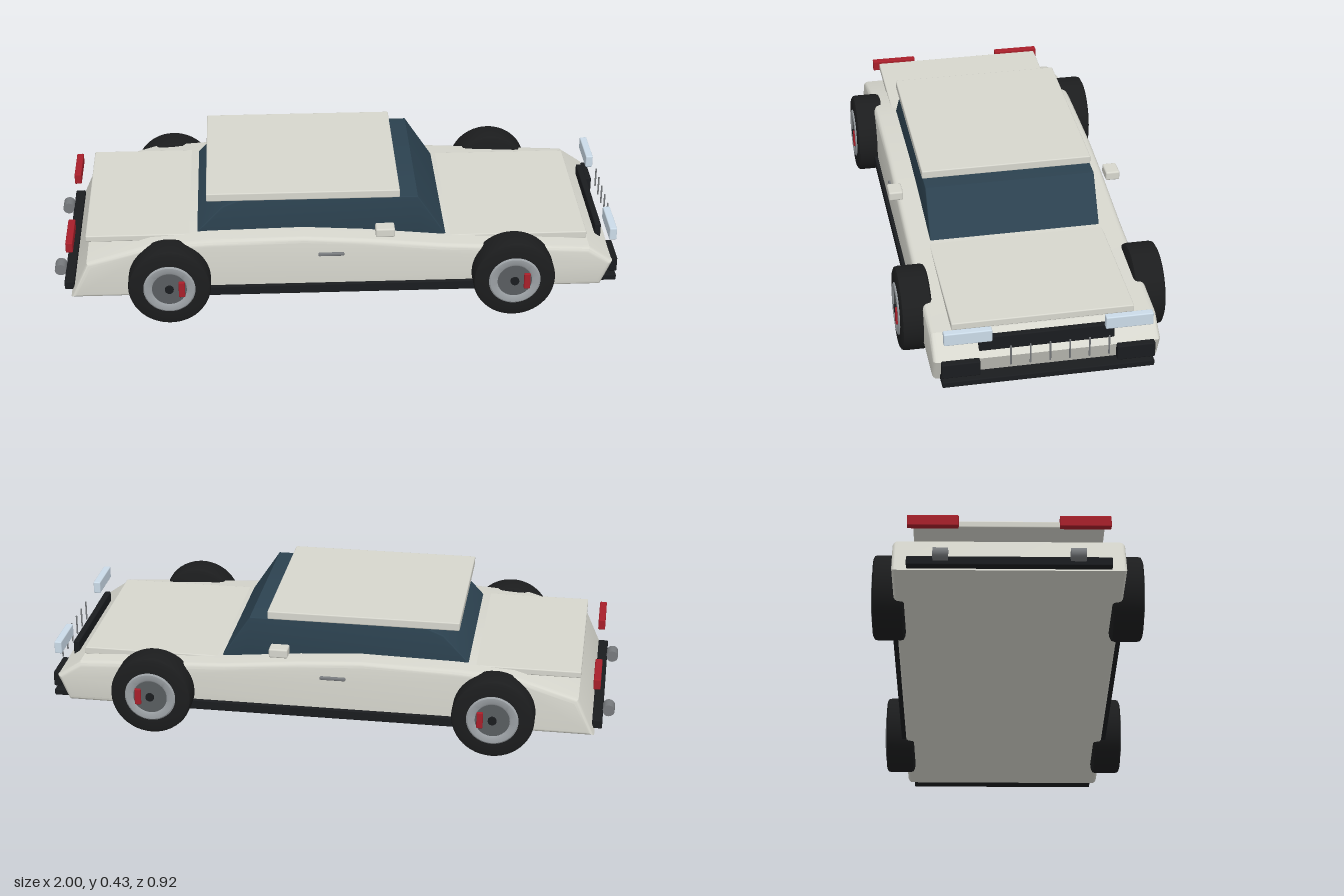
import * as THREE from 'three';
import { toCreasedNormals } from 'three/addons/utils/BufferGeometryUtils.js';
import { RoundedBoxGeometry } from 'three/addons/geometries/RoundedBoxGeometry.js';

const mat = (color) => new THREE.MeshStandardMaterial({ color });

export function createModel() {
  const car = new THREE.Group();
  car.name = 'car';
  const paint = mat(0xd6d6cd), glass = mat(0x2c4250), black = mat(0x1a1c1f), rubber = mat(0x1c1d1e);
  const red = mat(0xa81f2a), lamp = mat(0xcbdbe8), steel = mat(0x9ba0a4), dark = mat(0x595d60), grey = mat(0x777a7d);

  const add = (parent, name, geometry, material, x = 0, y = 0, z = 0) => {
    const m = new THREE.Mesh(geometry, material);
    m.name = name;
    m.position.set(x, y, z);
    parent.add(m);
    return m;
  };
  // box given by its limits on each axis
  const box = (name, material, [x0, x1], [y0, y1], [z0, z1], r = 0.004) =>
    add(car, name, new RoundedBoxGeometry(x1 - x0, y1 - y0, z1 - z0, 2, r), material,
      (x0 + x1) / 2, (y0 + y1) / 2, (z0 + z1) / 2);
  // side profile extruded across the car, with rounded edges kept inside the outline
  const slab = (name, material, points, half, bevel) => {
    const shape = new THREE.Shape(points.map(([x, y]) => new THREE.Vector2(x, y)));
    const g = new THREE.ExtrudeGeometry(shape, {
      depth: 2 * (half - bevel), bevelThickness: bevel, bevelSize: bevel, bevelOffset: -bevel, bevelSegments: 4,
    });
    g.translate(0, 0, bevel - half);
    return add(car, name, toCreasedNormals(g, 0.5), material);
  };

  // body and cabin
  slab('body', paint, [
    [-0.935, 0.07], [0.925, 0.07], [0.965, 0.163], [0.88, 0.222], [0.36, 0.25], [0.1, 0.276],
    [-0.12, 0.29], [-0.45, 0.284], [-0.65, 0.272], [-0.875, 0.205],
  ], 0.378, 0.018);
  slab('cabinGlass', glass, [
    [-0.5, 0.27], [-0.3, 0.22], [0.3, 0.22], [0.38, 0.25], [0.28, 0.402], [-0.34, 0.402], [-0.4, 0.378],
  ], 0.298, 0.004);
  box('roof', paint, [-0.455, 0.217], [0.4, 0.43], [-0.3, 0.3]);
  box('hood', paint, [0.36, 0.878], [0.222, 0.248], [-0.305, 0.305]);
  box('trunkLid', paint, [-0.878, -0.46], [0.257, 0.28], [-0.312, 0.312]);

  // front trim
  box('grille', black, [0.922, 0.944], [0.175, 0.229], [-0.225, 0.225]);
  box('frontBumperStrip', black, [0.92, 0.985], [0.074, 0.096], [-0.353, 0.353]);
  for (let i = 0; i < 6; i++) {
    add(car, 'grilleBar', new THREE.CylinderGeometry(0.003, 0.003, 0.072, 8), grey, 0.995, 0.187, 0.13 - i * 0.065);
  }

  // rear trim
  box('rearBumperStrip', black, [-0.96, -0.925], [0.077, 0.108], [-0.33, 0.33]);

  // parts repeated on both sides
  for (const s of [1, -1]) {
    const span = (a, b) => (s > 0 ? [a, b] : [-b, -a]);
    box('headlight', lamp, [0.952, 0.978], [0.235, 0.28], span(0.187, 0.345));
    box('frontIntake', black, [0.958, 0.985], [0.111, 0.165], span(0.227, 0.354));
    box('tailLight', red, [-0.947, -0.922], [0.226, 0.265], span(0.163, 0.33));
    box('sideSkirt', black, [-0.52, 0.54], [0.075, 0.11], span(0.36, 0.39));
    box('mirror', paint, [0.127, 0.193], [0.307, 0.34], span(0.364, 0.414), 0.006);
    box('doorHandle', grey, [-0.07, 0.02], [0.22, 0.232], span(0.37, 0.386));
    const pipe = add(car, 'exhaust', new THREE.CylinderGeometry(0.021, 0.021, 0.05, 20), grey, -0.979, 0.105, s * 0.22);
    pipe.rotation.x = Math.PI / 2;
  }

  // wheels: profiles are [radius, distance along the axle]
  const ring = (points) => {
    const g = new THREE.LatheGeometry(points.map(([r, h]) => new THREE.Vector2(r, h)), 48);
    return toCreasedNormals(g.rotateX(Math.PI / 2), 0.6);
  };
  const tyre = ring([[0, -0.053], [0.13, -0.053], [0.14, -0.048], [0.143, -0.038], [0.143, 0.038],
    [0.14, 0.048], [0.13, 0.053], [0.086, 0.053], [0.08, 0.045]]);
  const rim = ring([[0.09, 0.044], [0.09, 0.054], [0.085, 0.058], [0.066, 0.058], [0.06, 0.054], [0.06, 0.044]]);
  const disc = ring([[0.064, 0.04], [0.064, 0.054], [0, 0.054]]);
  const hub = ring([[0.015, 0.05], [0.015, 0.061], [0, 0.061]]);
  for (const x of [-0.588, 0.61]) {
    for (const s of [1, -1]) {
      const wheel = new THREE.Group();
      wheel.name = x > 0 ? 'frontWheel' : 'rearWheel';
      wheel.position.set(x, 0.143, s * 0.397);
      wheel.rotation.y = s > 0 ? 0 : Math.PI;
      add(wheel, 'tyre', tyre, rubber);
      add(wheel, 'rim', rim, steel);
      add(wheel, 'brakeDisc', disc, dark);
      add(wheel, 'hubCap', hub, black);
      add(wheel, 'caliper', new RoundedBoxGeometry(0.022, 0.06, 0.02, 2, 0.004), red, s * 0.043, 0, 0.053);
      car.add(wheel);
    }
  }
  return car;
}
